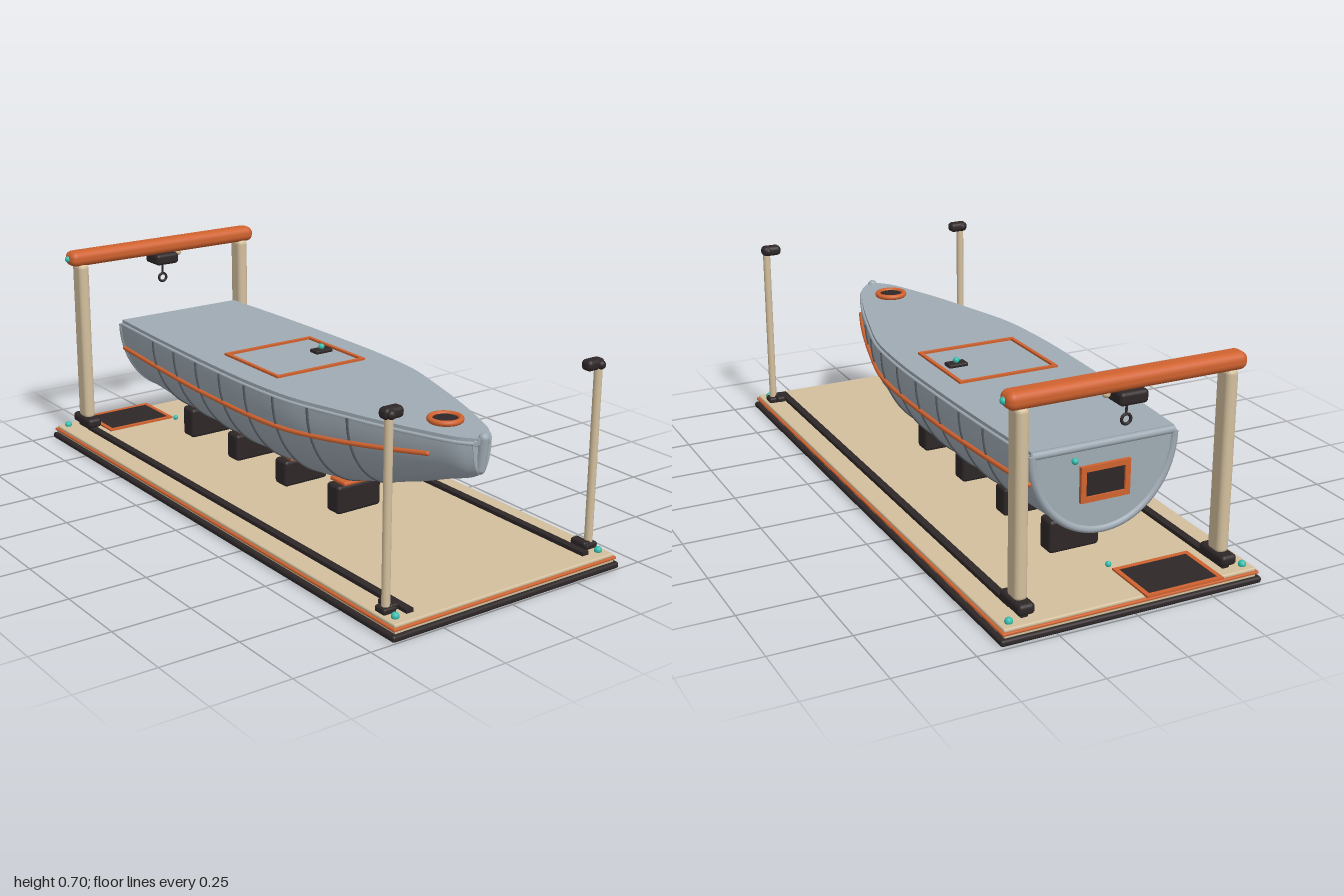
import * as THREE from 'three';
import { RoundedBoxGeometry } from 'three/addons/geometries/RoundedBoxGeometry.js';

const paint = (name, color) => {
  const m = new THREE.MeshStandardMaterial({ color });
  m.name = name;
  return m;
};

export function createModel() {
  const grey = paint('hull grey', 0xa0abb4);
  const ribGrey = paint('rib grey', 0x565d63);
  const black = paint('soft black', 0x2e2728);
  const orange = paint('orange', 0xd0622f);
  const beige = paint('sand', 0xd3bf9d);
  const teal = paint('teal', 0x35bfae);

  const model = new THREE.Group();
  const V = (x, y, z) => new THREE.Vector3(x, y, z);
  const add = (name, geo, mat, x = 0, y = 0, z = 0, parent = model) => {
    const m = new THREE.Mesh(geo, mat);
    m.name = name;
    m.position.set(x, y, z);
    parent.add(m);
    return m;
  };
  const rbox = (w, h, d, r) => new RoundedBoxGeometry(w, h, d, 3, r);
  const box = (w, h, d) => new THREE.BoxGeometry(w, h, d);
  const ball = (r) => new THREE.SphereGeometry(r, 16, 12);
  const cyl = (r, h) => new THREE.CylinderGeometry(r, r, h, 24);
  const tube = (pts, r, seg = 48) =>
    new THREE.TubeGeometry(new THREE.CatmullRomCurve3(pts), seg, r, 8);
  // flat rectangular frame in the xy plane
  const frame = (w, h, band, depth) => {
    const rect = (T, a, b) => new T([[-a, -b], [a, -b], [a, b], [-a, b]].map((p) => new THREE.Vector2(...p)));
    const s = rect(THREE.Shape, w / 2, h / 2);
    s.holes.push(rect(THREE.Path, w / 2 - band, h / 2 - band));
    return new THREE.ExtrudeGeometry(s, { depth, bevelEnabled: false });
  };

  // ---- base ----
  add('basePlinth', rbox(0.846, 0.02, 1.99, 0.008), black, 0, 0.01, 0.003);
  add('baseSlab', box(0.815, 0.018, 1.965), beige, 0, 0.026, 0.003);
  add('baseTrim', rbox(0.832, 0.009, 1.978, 0.004), orange, 0, 0.033, 0.003);
  add('baseTop', rbox(0.818, 0.012, 1.966, 0.005), beige, 0, 0.041, 0.003);
  for (const s of [-1, 1]) {
    add('floorRail', box(0.024, 0.012, 1.82), black, s * 0.329, 0.053, 0.04);
    for (const z of [-0.95, 0.95]) add('cornerStud', ball(0.012), teal, s * 0.38, 0.052, z);
  }
  // floor hatch at the stern
  add('floorHatchFrame', frame(0.255, 0.19, 0.014, 0.007).rotateX(-Math.PI / 2), orange, -0.157, 0.046, -0.903);
  add('floorHatchPanel', box(0.23, 0.005, 0.165), black, -0.157, 0.049, -0.903);
  add('floorHatchStud', ball(0.009), teal, -0.03, 0.056, -0.785);

  // ---- hull: stations of half width, keel height, z ----
  const SHEER = 0.442;
  const stations = new THREE.CatmullRomCurve3([
    V(0.238, 0.174, -0.79), V(0.254, 0.158, -0.5), V(0.264, 0.148, -0.15), V(0.263, 0.147, 0.05),
    V(0.246, 0.152, 0.25), V(0.202, 0.19, 0.42), V(0.148, 0.245, 0.6), V(0.1, 0.294, 0.73),
    V(0.065, 0.322, 0.81), V(0.034, 0.342, 0.848),
  ]).getPoints(72);
  const at = (z) => {
    let i = 0;
    while (i < stations.length - 2 && stations[i + 1].z < z) i++;
    const a = stations[i], b = stations[i + 1];
    return a.clone().lerp(b, THREE.MathUtils.clamp((z - a.z) / (b.z - a.z), 0, 1));
  };
  const section = (s, grow = 0, n = 32) => Array.from({ length: n + 1 }, (_, j) => {
    const t = (j / n) * Math.PI;
    return V((s.x + grow) * Math.cos(t), SHEER - (SHEER - s.y + grow) * Math.sin(t), s.z);
  });
  const boat = new THREE.Group();
  boat.name = 'boat';
  model.add(boat);
  const put = (name, geo, mat, x, y, z) => add(name, geo, mat, x, y, z, boat);

  const pos = [], idx = [], N = 32;
  stations.forEach((s) => section(s).forEach((p) => pos.push(p.x, p.y, p.z)));
  for (let i = 0; i < stations.length - 1; i++) {
    for (let j = 0; j < N; j++) {
      const a = i * (N + 1) + j, b = a + N + 1;
      idx.push(a, b, a + 1, b, b + 1, a + 1);
    }
  }
  const skin = new THREE.BufferGeometry();
  skin.setAttribute('position', new THREE.Float32BufferAttribute(pos, 3));
  skin.setIndex(idx);
  skin.computeVertexNormals();
  put('hullSkin', skin, grey);

  // transom and bow plates
  const endPlate = (s) => new THREE.ExtrudeGeometry(
    new THREE.Shape(section(s).map((p) => new THREE.Vector2(p.x, p.y))), { depth: 0.008, bevelEnabled: false });
  put('transom', endPlate(stations[0]), grey, 0, 0, -0.797);
  put('bowPlate', endPlate(stations[72]), grey, 0, 0, 0.842);
  put('transomRim', tube(section(stations[0], -0.008), 0.012), grey, 0, 0, -0.004);
  put('transomTopRim', tube([V(-0.23, 0.443, -0.793), V(0, 0.443, -0.793), V(0.23, 0.443, -0.793)], 0.012), grey);

  // deck, a slightly inset plate
  const edge = stations.map((s) => [Math.max(s.x - 0.007, 0.02), s.z]);
  const outline = [...edge, [0.018, 0.858], ...[...edge, [0.018, 0.858]].reverse().map(([x, z]) => [-x, z])];
  const deck = new THREE.ExtrudeGeometry(
    new THREE.Shape(outline.map((p) => new THREE.Vector2(...p))), { depth: 0.018, bevelEnabled: false });
  put('deck', deck.rotateX(Math.PI / 2), grey, 0, 0.456, 0);

  // ribs round the outside of the hull
  for (let k = 0; k < 8; k++) {
    put('hullRib', tube(section(at(0.47 - k * 0.1445), 0.0005), 0.0045), ribGrey);
  }

  // gunwales and rubbing strakes
  const strake = [[-0.78, 0.356], [-0.5, 0.349], [-0.2, 0.343], [0.2, 0.346], [0.4, 0.357], [0.6, 0.377], [0.73, 0.391]];
  for (const s of [-1, 1]) {
    put('gunwale', tube(stations.filter((_, i) => i % 4 === 0).map((p) => V(s * (p.x - 0.005), 0.44, p.z)), 0.006, 72), grey);
    const path = strake.map(([z, y]) => {
      const c = at(z), k = (SHEER - y) / (SHEER - c.y);
      return V(s * (c.x * Math.sqrt(1 - k * k) + 0.005), y, z);
    });
    put('rubbingStrake', tube(path, 0.0075), orange);
    for (const p of [path[0], path[6]]) put('strakeEnd', ball(0.0075), orange, p.x, p.y, p.z);
  }

  // stem post
  const stem = put('stemPost', new THREE.CapsuleGeometry(0.016, 0.095, 6, 16), grey, 0, 0.406, 0.85);
  stem.rotation.x = 0.12;
  put('stemBracket', rbox(0.06, 0.02, 0.03, 0.006), grey, 0, 0.44, 0.838);

  // deck hatch, latch and bow port
  put('deckHatchFrame', frame(0.34, 0.306, 0.012, 0.008).rotateX(-Math.PI / 2), orange, 0.002, 0.455, -0.073);
  put('hatchLatch', rbox(0.066, 0.012, 0.04, 0.004), black, 0.11, 0.462, -0.073);
  put('latchStud', ball(0.01), teal, 0.11, 0.475, -0.073);
  put('bowPortRing', new THREE.TorusGeometry(0.046, 0.009, 12, 40).rotateX(Math.PI / 2), orange, 0, 0.464, 0.688);
  put('bowPortGlass', cyl(0.042, 0.012), black, 0, 0.46, 0.688);

  // transom window
  put('transomFrame', frame(0.16, 0.11, 0.017, 0.012), orange, 0, 0.332, -0.809);
  put('transomWindow', box(0.13, 0.08, 0.006), black, 0, 0.332, -0.8);
  put('transomStud', ball(0.01), teal, 0.1, 0.41, -0.805);

  // ---- cradle blocks ----
  for (const z of [0.255, -0.033, -0.322, -0.61]) {
    const top = at(z).y + 0.002;
    add('cradleBlock', rbox(0.168, top - 0.06, 0.066, 0.012), black, 0, 0.046 + (top - 0.06) / 2, z);
    add('cradlePad', rbox(0.13, 0.014, 0.08, 0.006), orange, 0, top - 0.008, z);
  }

  // ---- front lamp posts and rear gantry legs ----
  for (const s of [-1, 1]) {
    add('lampPost', cyl(0.0125, 0.55), beige, s * 0.38, 0.33, 0.908);
    add('lampFoot', rbox(0.046, 0.02, 0.045, 0.007), black, s * 0.378, 0.056, 0.905);
    add('lampFootClamp', rbox(0.03, 0.02, 0.06, 0.007), black, s * 0.362, 0.062, 0.895);
    add('lampHead', rbox(0.066, 0.034, 0.04, 0.014), black, s * 0.366, 0.616, 0.9);
    add('lampNose', new THREE.CapsuleGeometry(0.014, 0.03, 4, 16).rotateX(Math.PI / 2), black, s * 0.38, 0.616, 0.903);

    add('gantryLeg', rbox(0.039, 0.565, 0.064, 0.016), beige, s * 0.328, 0.368, -0.9);
    add('gantryFoot', rbox(0.052, 0.034, 0.125, 0.013), black, s * 0.328, 0.077, -0.9);
    add('gantryFootBase', rbox(0.026, 0.02, 0.09, 0.006), black, s * 0.328, 0.056, -0.9);
    add('beamStud', ball(0.011), teal, s * 0.374, 0.67, -0.902);
  }
  add('gantryBeam', rbox(0.75, 0.053, 0.068, 0.023), orange, 0, 0.67, -0.902);

  // ---- hoist ----
  add('hoistTrolley', rbox(0.09, 0.04, 0.088, 0.012), black, 0, 0.627, -0.902);
  add('hoistCable', cyl(0.0035, 0.045), black, 0, 0.591, -0.902);
  add('hoistRing', new THREE.TorusGeometry(0.0145, 0.0045, 10, 28), black, 0, 0.553, -0.902);
  add('hoistKnob', ball(0.012), beige, 0.065, 0.637, -0.902);

  return model;
}
